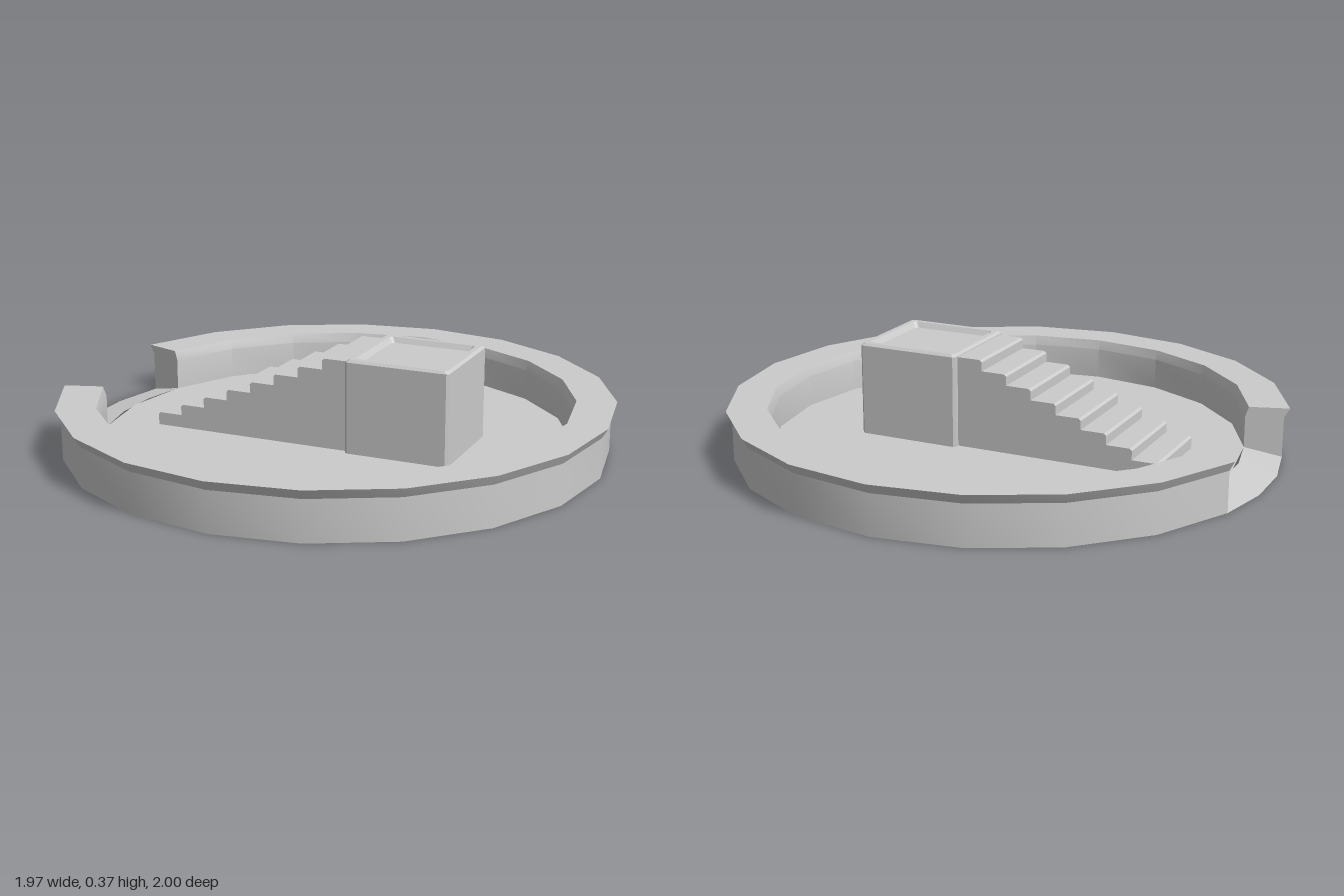
import * as THREE from 'three';
import { toCreasedNormals } from 'three/addons/utils/BufferGeometryUtils.js';

const SIDES = 20, STEP = (Math.PI * 2) / SIDES;
const FLOOR_Y = 0.03, INNER = 0.845, OUTER = 0.98, CENTRE_X = -0.01;

const material = new THREE.MeshStandardMaterial({ color: 0xcccccc, side: THREE.DoubleSide });

function part(name, geometry, x = 0) {
  const mesh = new THREE.Mesh(toCreasedNormals(geometry, 0.4), material);
  mesh.name = name;
  mesh.position.x = x;
  return mesh;
}

const points = (list) => list.map(([x, y]) => new THREE.Vector2(x, y));

// Ring wall with a flared lip, open for two of its twenty sides at -x
function ringWall() {
  const group = new THREE.Group();
  group.name = 'ringWall';
  const profile = points([
    [OUTER, 0], [OUTER, 0.145], [1, 0.18],
    [0.857, 0.18], [INNER, 0.145], [INNER, FLOOR_Y],
  ]);
  group.add(part('wall', new THREE.LatheGeometry(
    profile, SIDES - 2, -Math.PI / 2 + STEP, Math.PI * 2 - 2 * STEP), CENTRE_X));
  for (const side of [-1, 1]) {
    const cap = new THREE.ShapeGeometry(new THREE.Shape(profile));
    cap.rotateY(side * (Math.PI - STEP));
    group.add(part('wallEnd', cap, CENTRE_X));
  }
  return group;
}

// Floor disc, and the ramp that drops to the ground through the opening
function floorDisc() {
  const disc = new THREE.CircleGeometry(INNER, SIDES);
  disc.rotateX(-Math.PI / 2).translate(0, FLOOR_Y, 0);
  return part('floor', disc, CENTRE_X);
}

function entranceRamp() {
  const ramp = new THREE.RingGeometry(INNER, OUTER, 2, 1, Math.PI - STEP, 2 * STEP);
  ramp.rotateX(-Math.PI / 2);
  const p = ramp.attributes.position;
  for (let i = 0; i < p.count; i++) {
    p.setY(i, Math.hypot(p.getX(i), p.getZ(i)) > 0.9 ? 0 : FLOOR_Y);
  }
  return part('entranceRamp', ramp, CENTRE_X);
}

// Staircase of eight steps with chamfered nosings
function staircase() {
  const count = 8, start = -0.65, end = 0.105, bevel = 0.008, halfWidth = 0.168;
  const tread = (end - start) / count;
  const outline = [[start, FLOOR_Y]];
  for (let k = 0; k < count; k++) {
    const x = start + k * tread, top = 0.077 + 0.04 * k;
    outline.push([x, top - bevel], [x + bevel, top], [x + tread, top]);
  }
  outline.push([end, FLOOR_Y]);
  const geometry = new THREE.ExtrudeGeometry(new THREE.Shape(points(outline)),
    { depth: halfWidth * 2, bevelEnabled: false });
  geometry.translate(0, 0, -halfWidth);
  return part('staircase', geometry);
}

// Square plinth with chamfered edges and a shallow recess in its top
function plinth() {
  const profile = points([
    [0.191, FLOOR_Y], [0.191, 0.36], [0.182, 0.369],
    [0.163, 0.369], [0.15, 0.35], [0, 0.35],
  ]);
  const geometry = new THREE.LatheGeometry(profile, 8, Math.PI / 8);
  const p = geometry.attributes.position;
  // Push the eight-sided rings out to squares with cut corners
  for (let i = 0; i < p.count; i++) {
    const x = p.getX(i), z = p.getZ(i), half = Math.hypot(x, z);
    const cut = Math.max(half - 0.009, 0);
    const xLong = Math.abs(x) > Math.abs(z);
    p.setX(i, Math.sign(x) * (xLong ? half : cut));
    p.setZ(i, Math.sign(z) * (xLong ? cut : half));
  }
  return part('plinth', geometry, 0.296);
}

export function createModel() {
  const model = new THREE.Group();
  model.name = 'roundArena';
  model.add(ringWall(), floorDisc(), entranceRamp(), staircase(), plinth());
  return model;
}
